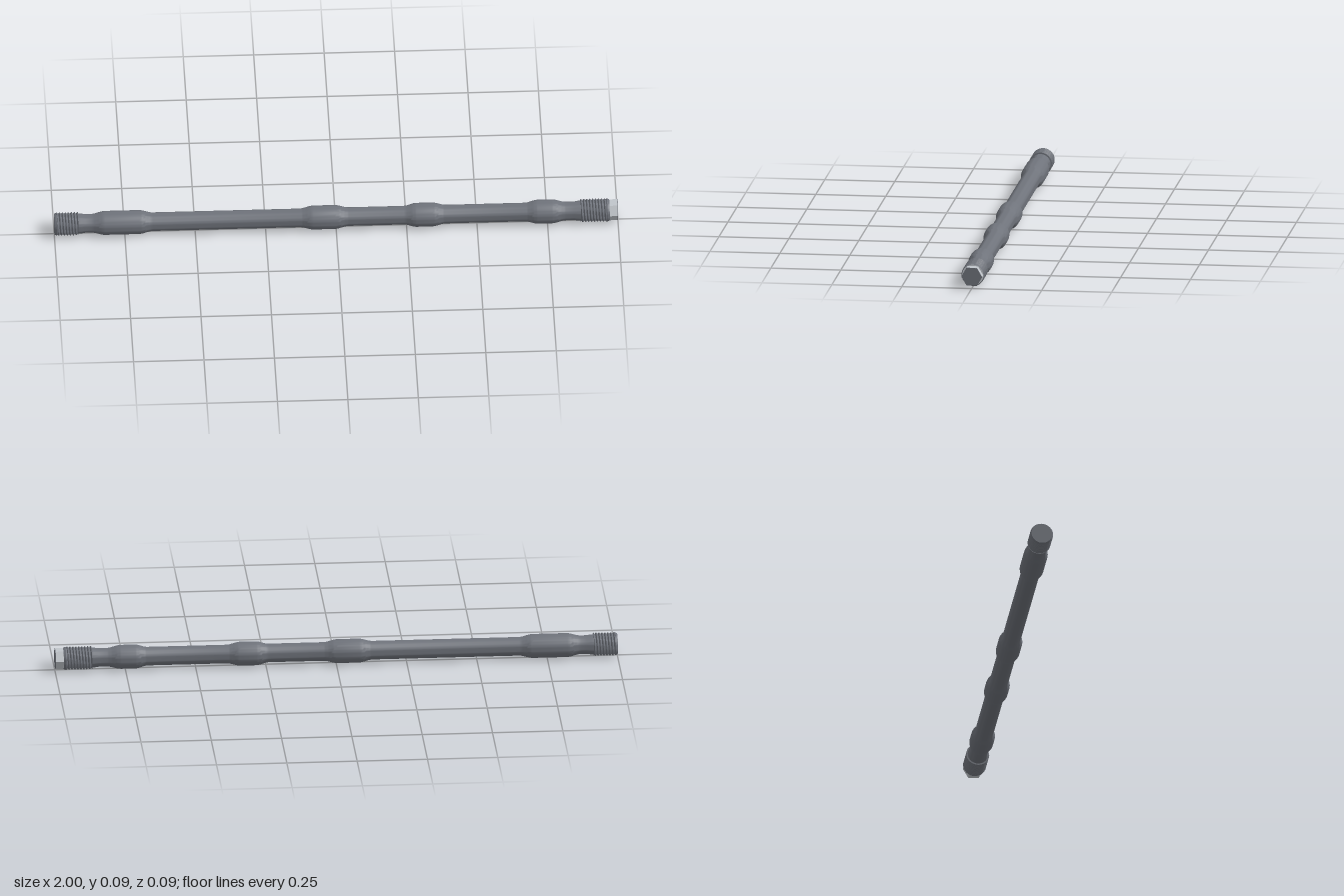
import * as THREE from 'three';
import { toCreasedNormals } from 'three/addons/utils/BufferGeometryUtils.js';

const AXIS_Y = 0.0425, SHAFT_R = 0.033, BULGE_R = 0.0425;
const ROOT_R = 0.036, CREST_R = 0.041, PITCH = 0.0105;

export function createModel() {
  const model = new THREE.Group();
  model.name = 'waistedStud';
  const darkMetal = new THREE.MeshStandardMaterial({ color: 0x6f737b });
  const brightMetal = new THREE.MeshStandardMaterial({ color: 0xc0c5ca });

  // Everything is turned about the x axis: geometry y becomes model x
  const add = (name, geometry, material = darkMetal) => {
    geometry.rotateZ(-Math.PI / 2);
    const mesh = new THREE.Mesh(toCreasedNormals(geometry, 0.45), material);
    mesh.name = name;
    mesh.position.y = AXIS_Y;
    model.add(mesh);
  };
  const lathe = (pairs) => new THREE.LatheGeometry(pairs.map(([x, r]) => new THREE.Vector2(r, x)), 48);

  // Shaft with smoothly blended guide collars: [start, flat start, flat end, end]
  const collars = [
    [-0.87, -0.82, -0.70, -0.65],
    [-0.13, -0.08, -0.005, 0.045],
    [0.24, 0.285, 0.34, 0.39],
    [0.67, 0.715, 0.765, 0.815],
  ];
  const profile = [[-0.92, ROOT_R], [-0.905, 0.0355], [-0.89, SHAFT_R]];
  const blend = (x0, r0, x1, r1) => {
    for (let i = 0; i <= 8; i++) {
      const t = i / 8;
      profile.push([x0 + (x1 - x0) * t, r0 + (r1 - r0) * t * t * (3 - 2 * t)]);
    }
  };
  for (const [a, b, c, d] of collars) {
    blend(a, SHAFT_R, b, BULGE_R);
    blend(c, BULGE_R, d, SHAFT_R);
  }
  profile.push([0.845, SHAFT_R], [0.862, 0.0355], [0.88, ROOT_R]);
  add('shaft', lathe(profile));

  // Helical thread: a ridged lathe sheared by one pitch per turn and clamped to its ends
  const thread = (x0, x1) => {
    const pairs = [];
    for (let x = x0 - PITCH; x < x1 + PITCH; x += PITCH) {
      pairs.push([x, ROOT_R], [x + PITCH * 0.4, CREST_R], [x + PITCH * 0.6, CREST_R]);
    }
    const geometry = lathe(pairs);
    const p = geometry.attributes.position;
    const rows = pairs.length;
    for (let i = 0; i < p.count; i++) {
      const turn = Math.floor(i / rows) / 48;
      p.setY(i, THREE.MathUtils.clamp(p.getY(i) + PITCH * turn, x0, x1));
    }
    return geometry;
  };
  add('rightThread', thread(-0.992, -0.915));
  add('leftThread', thread(0.868, 0.962));

  // Chamfered ends closing the threads, with a bright shoulder behind the hex
  add('rightEnd', lathe([[-1, 0], [-1, 0.037], [-0.992, CREST_R], [-0.988, ROOT_R]]));
  add('leftChamfer', lathe([[0.955, ROOT_R], [0.962, CREST_R], [0.97, 0.038]]));
  add('leftShoulder', lathe([[0.97, 0.038], [0.97, 0]]), brightMetal);

  // Hexagonal drive with bright flats, corners pointing along z, and a dark chamfered tip
  const hex = (r0, r1, x0, x1, open) => {
    const geometry = new THREE.CylinderGeometry(r1, r0, x1 - x0, 6, 1, open);
    return geometry.translate(0, (x0 + x1) / 2, 0);
  };
  add('hexDrive', hex(0.0375, 0.0375, 0.965, 0.998, true), brightMetal);
  add('hexDriveTip', hex(0.0375, 0.0365, 0.998, 1, false));

  return model;
}
